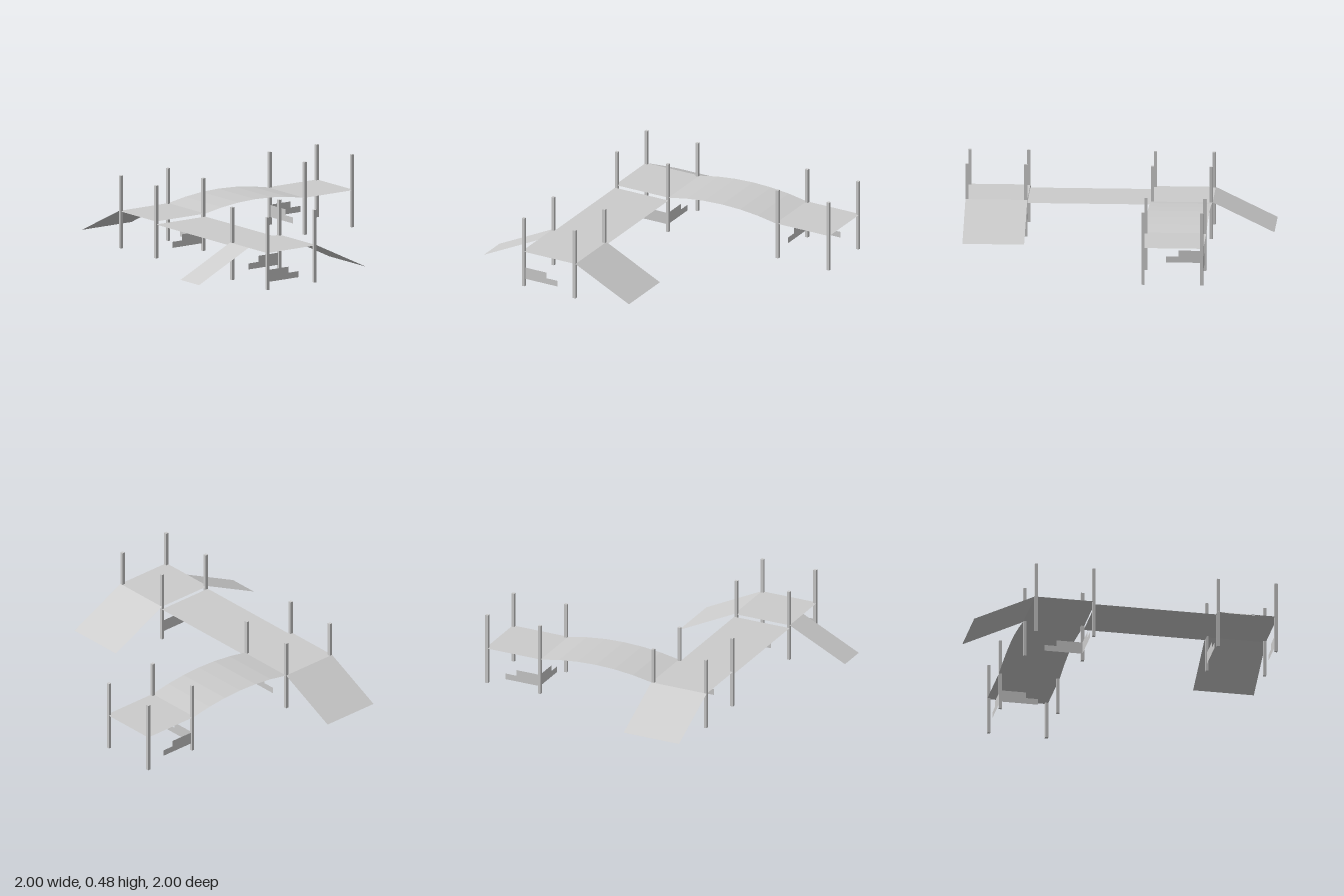
import * as THREE from 'three';

const material = new THREE.MeshStandardMaterial({ color: 0xcccccc, side: THREE.DoubleSide, flatShading: true });

const SIZE = 0.4, DECK = 0.245, LOW = 0.05, POST = 0.02, POST_H = 0.48;

function add(parent, name, geometry, x = 0, y = 0, z = 0) {
  const mesh = new THREE.Mesh(geometry, material);
  mesh.name = name;
  mesh.position.set(x, y, z);
  parent.add(mesh);
  return mesh;
}

// Thin sheet running along +z, bent to the height rule y(t), t = 0..1
function sheet(width, length, height, segments = 1) {
  const geometry = new THREE.PlaneGeometry(width, length, 1, segments);
  geometry.rotateX(-Math.PI / 2);
  geometry.translate(0, 0, length / 2);
  const p = geometry.attributes.position;
  for (let i = 0; i < p.count; i++) p.setY(i, height(p.getZ(i) / length));
  geometry.computeVertexNormals();
  return geometry;
}

// Stepped panel: tall beside its post, half height at the free end
const stepShape = new THREE.Shape([[0, 0], [0.24, 0], [0.24, 0.04], [0.16, 0.04], [0.16, 0.08], [0, 0.08]]
  .map(([x, y]) => new THREE.Vector2(x, y)));
const stepGeometry = new THREE.ShapeGeometry(stepShape);

// Square deck with four corner posts, and stepped panels listed as
// [corner x sign, corner z sign, axis the panel runs along]
function tower(name, cx, cz, panels) {
  const group = new THREE.Group();
  group.name = name;
  group.position.set(cx, 0, cz);
  add(group, 'deck', sheet(SIZE, SIZE, () => DECK), 0, 0, -SIZE / 2);
  const r = SIZE / 2 - POST / 2;
  for (const sx of [-1, 1]) for (const sz of [-1, 1]) {
    add(group, 'post', new THREE.BoxGeometry(POST, POST_H, POST), sx * r, POST_H / 2, sz * r);
  }
  for (const [sx, sz, axis] of panels) {
    const inset = r - POST / 2;
    const alongX = axis === 'x';
    const panel = add(group, 'stepPanel', stepGeometry,
      sx * (alongX ? inset : r), LOW, sz * (alongX ? r : inset));
    // Turn the panel inward from its corner
    if (alongX) panel.rotation.y = sx > 0 ? Math.PI : 0;
    else panel.rotation.y = sz > 0 ? Math.PI / 2 : -Math.PI / 2;
  }
  return group;
}

export function createModel() {
  const model = new THREE.Group();
  model.name = 'playStructure';

  // Towers
  model.add(
    tower('centreTower', -0.4, 0.4, [[1, -1, 'x'], [1, -1, 'z']]),
    tower('backTower', -0.4, -0.8, [[-1, 1, 'x'], [-1, 1, 'z']]),
    tower('leftTower', 0.8, 0.4, [[-1, -1, 'z'], [1, 1, 'z']]),
  );

  // Ramps and slide, dropping from deck height to just above the ground
  const slope = t => DECK + (LOW - DECK) * t;
  add(model, 'sideRamp', sheet(SIZE, SIZE, slope), -0.6, 0, 0.4).rotation.y = -Math.PI / 2;
  add(model, 'backRamp', sheet(SIZE, SIZE, slope), 0.8, 0, 0.2).rotation.y = Math.PI;
  add(model, 'slide', sheet(SIZE / 2, SIZE, slope), 0.7, 0, 0.6);

  // Bridges: flat one slung slightly low, arched one in six facets
  add(model, 'flatBridge', sheet(SIZE, 0.8, () => 0.225), -0.2, 0, 0.4).rotation.y = Math.PI / 2;
  add(model, 'archBridge', sheet(SIZE, 0.8, t => DECK + 0.043 * 4 * t * (1 - t), 6), -0.4, 0, -0.6);

  return model;
}
